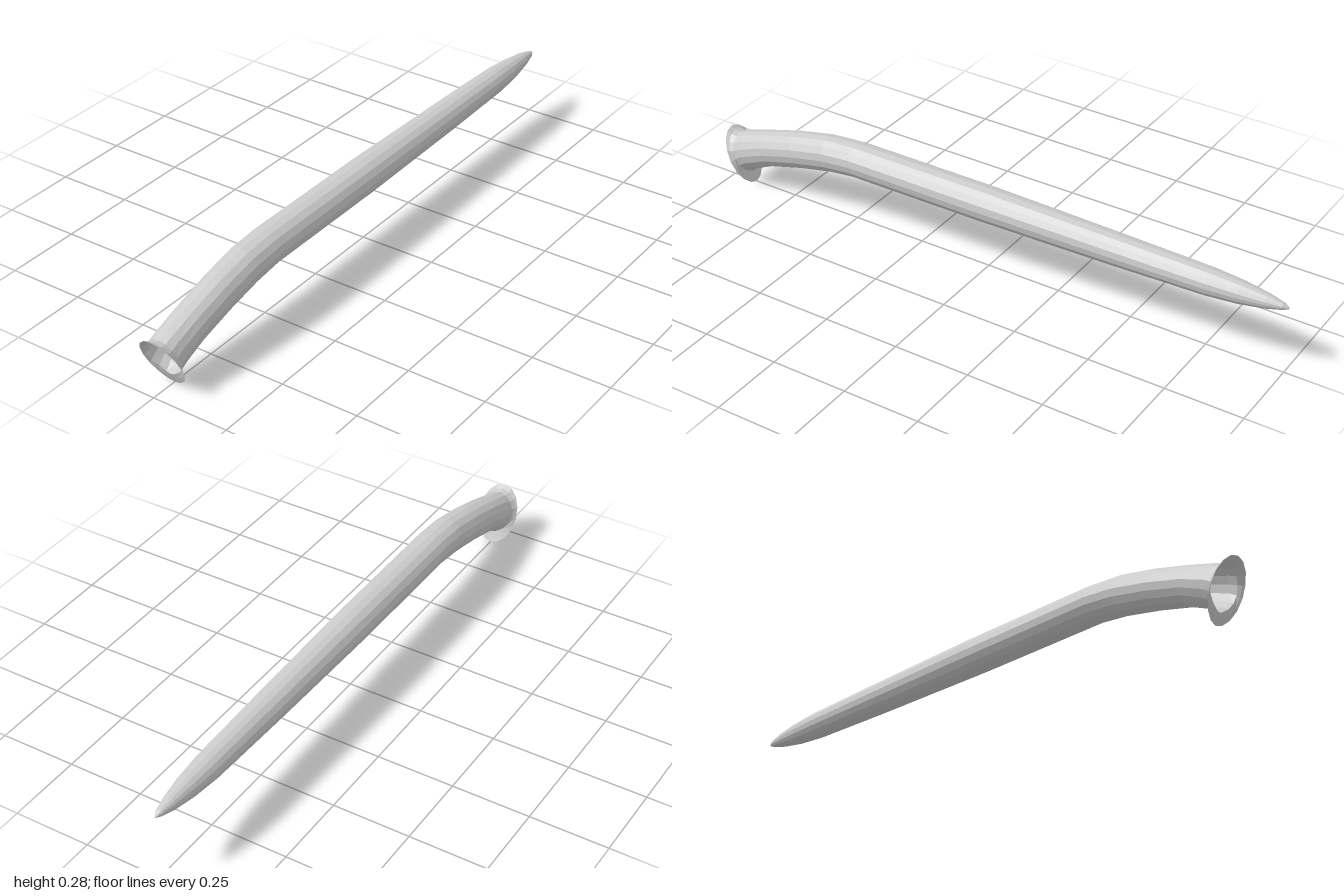
import * as THREE from 'three';

const SIDES = 16;

// Each section: [top z, top y, bottom z, bottom y, half width, lower pinch]
const tubeSections = [
  [0.965, 0.170, 0.925, 0.035, 0.058, 1.6],
  [0.935, 0.181, 0.900, 0.055, 0.058, 1.2],
  [0.85, 0.208, 0.82, 0.093, 0.058, 1],
  [0.73, 0.242, 0.70, 0.126, 0.059, 1],
  [0.60, 0.270, 0.58, 0.152, 0.060, 1],
  [0.49, 0.278, 0.48, 0.165, 0.060, 1],
  [0, 0.278, 0, 0.165, 0.059, 1],
  [-0.45, 0.270, -0.45, 0.171, 0.051, 1],
  [-0.75, 0.263, -0.75, 0.178, 0.044, 1],
  [-0.85, 0.256, -0.85, 0.186, 0.036, 1],
  [-0.93, 0.245, -0.93, 0.199, 0.024, 1],
  [-0.98, 0.234, -0.98, 0.212, 0.012, 1],
  [-1, 0.223, -1, 0.221, 0.001, 1],
];
const rimSections = [
  [1.0, 0.183, 0.91, 0.0, 0.069, 1.1],
  [0.985, 0.174, 0.917, 0.016, 0.064, 1.3],
  tubeSections[0],
];

// Skin a row of oval rings running from the mouth towards the tip
function loft(sections) {
  const pos = [], index = [];
  for (const [tz, ty, bz, by, w, pinch] of sections) {
    for (let i = 0; i < SIDES; i++) {
      const a = (i / SIDES) * Math.PI * 2;
      const t = (1 - Math.cos(a)) / 2; // 0 at the top, 1 at the bottom
      const s = Math.sin(a);
      const x = w * Math.sign(s) * Math.pow(Math.abs(s), t > 0.5 ? pinch : 1);
      pos.push(x, ty + (by - ty) * t, tz + (bz - tz) * t);
    }
  }
  for (let r = 0; r < sections.length - 1; r++) {
    for (let i = 0; i < SIDES; i++) {
      const j = (i + 1) % SIDES;
      const a = r * SIDES + i, b = r * SIDES + j;
      index.push(a, b, a + SIDES, b, b + SIDES, a + SIDES);
    }
  }
  const g = new THREE.BufferGeometry();
  g.setAttribute('position', new THREE.Float32BufferAttribute(pos, 3));
  g.setIndex(index);
  g.computeVertexNormals();
  return g;
}

export function createModel() {
  const group = new THREE.Group();
  const material = new THREE.MeshStandardMaterial({
    color: 0xcccccc, flatShading: true, side: THREE.DoubleSide,
  });
  const add = (name, sections) => {
    const mesh = new THREE.Mesh(loft(sections), material);
    mesh.name = name;
    group.add(mesh);
  };
  // Bent hollow sleeve tapering to a closed tip
  add('sleeve', tubeSections);
  // Flared lip around the slanted open mouth
  add('mouthRim', rimSections);
  return group;
}
